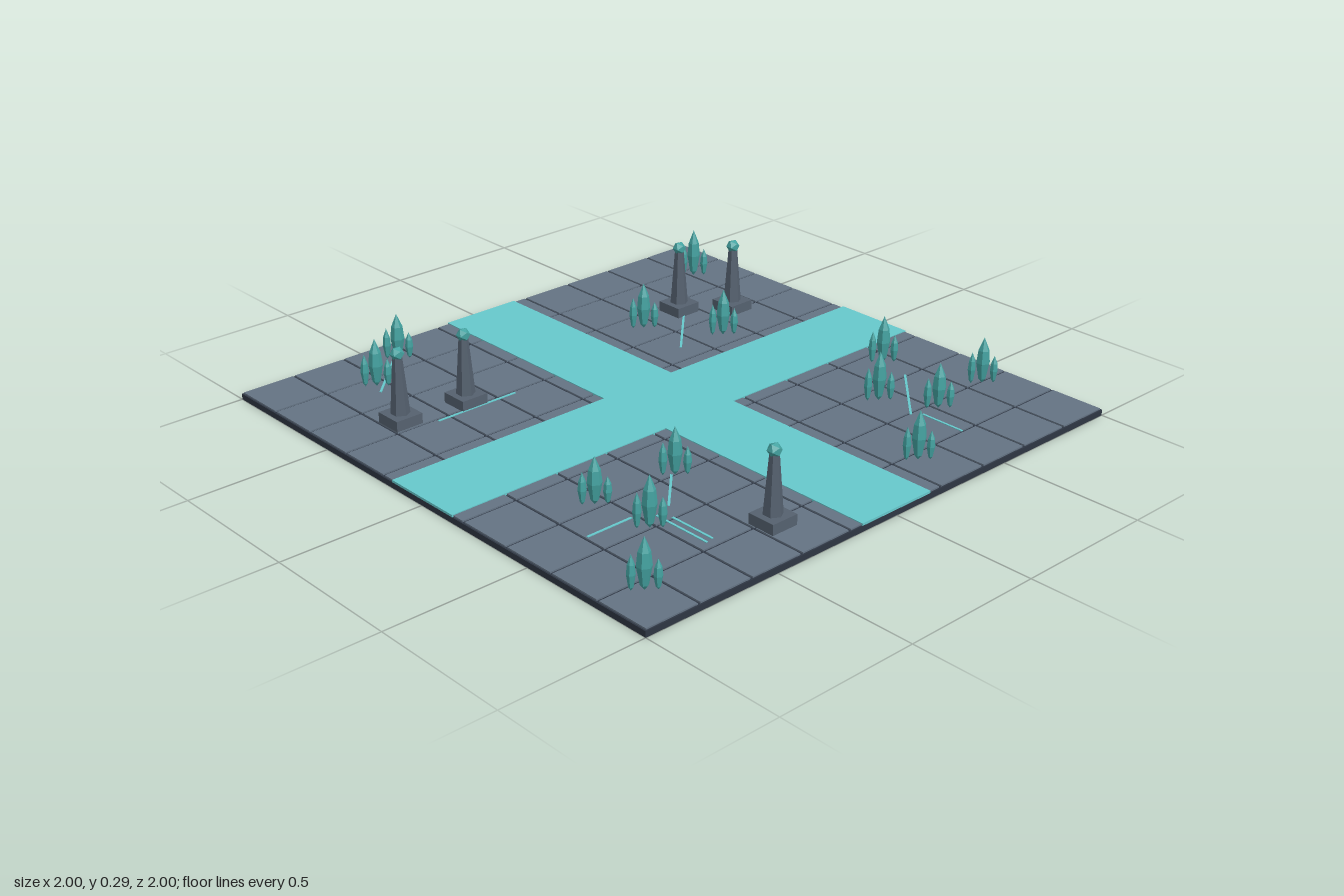
import * as THREE from 'three';

const mat = (name, color) => {
  const m = new THREE.MeshStandardMaterial({ color });
  m.name = name;
  return m;
};

export function createModel() {
  const root = new THREE.Group();
  root.name = 'crystalPlaza';
  const slabMat = mat('dark slab', 0x2e3643);
  const tileMat = mat('slate tile', 0x647383);
  const roadMat = mat('cyan road', 0x66c8cc);
  const stoneMat = mat('pillar stone', 0x55616f);
  const crystalMat = mat('teal crystal', 0x44a3a1);

  const add = (parent, name, geo, material, x, y, z) => {
    const mesh = new THREE.Mesh(geo, material);
    mesh.name = name;
    mesh.position.set(x, y, z);
    parent.add(mesh);
    return mesh;
  };
  const faceted = (geo) => {
    const g = geo.index ? geo.toNonIndexed() : geo;
    g.computeVertexNormals();
    return g;
  };

  // Ground slab and its grid of paving tiles
  const ground = 0.025;
  add(root, 'slab', new THREE.BoxGeometry(2, 0.02, 2), slabMat, 0, 0.01, 0);
  const tiles = new THREE.Group();
  tiles.name = 'tiles';
  root.add(tiles);
  const tileGeo = new THREE.BoxGeometry(0.19, 0.006, 0.19);
  for (let i = 0; i < 10; i++) {
    for (let j = 0; j < 10; j++) {
      add(tiles, 'tile', tileGeo, tileMat, -0.9 + i * 0.2, 0.022, -0.9 + j * 0.2);
    }
  }

  // Crossing roads: one full length, two arms beside it
  add(root, 'roadLong', new THREE.BoxGeometry(0.3, 0.008, 2), roadMat, 0, 0.024, 0);
  for (const s of [-1, 1]) {
    add(root, 'roadArm', new THREE.BoxGeometry(0.85, 0.008, 0.3), roadMat, s * 0.575, 0.024, 0);
  }

  // Thin glowing inlays: start x, z, end x, z
  const inlays = [
    [-0.66, -0.69, -0.48, -0.87], [-0.65, -0.385, -0.335, -0.385], [0.32, -0.285, 0.53, -0.495],
    [-0.79, 0.515, -0.62, 0.515], [-0.49, 0.535, -0.35, 0.395], [-0.557, 0.555, -0.557, 0.77],
    [-0.53, 0.595, -0.53, 0.765], [0.505, 0.61, 0.72, 0.395], [0.535, 0.635, 0.535, 0.8],
  ];
  for (const [x1, z1, x2, z2] of inlays) {
    const length = Math.hypot(x2 - x1, z2 - z1);
    const strip = add(root, 'inlay', new THREE.BoxGeometry(length, 0.003, 0.008), roadMat,
      (x1 + x2) / 2, 0.0258, (z1 + z2) / 2);
    strip.rotation.y = -Math.atan2(z2 - z1, x2 - x1);
  }

  // Tapered six-sided pillars with a gem on top
  const plinthGeo = new THREE.BoxGeometry(0.1, 0.036, 0.1);
  const shaftGeo = faceted(new THREE.CylinderGeometry(0.016, 0.032, 0.195, 6));
  const gemGeo = new THREE.IcosahedronGeometry(0.024, 0);
  const pillars = [[-0.745, -0.458], [-0.5, -0.435], [0.537, -0.528], [0.692, -0.413], [-0.342, 0.822]];
  for (const [x, z] of pillars) {
    const pillar = new THREE.Group();
    pillar.name = 'pillar';
    pillar.position.set(x, ground, z);
    root.add(pillar);
    add(pillar, 'plinth', plinthGeo, stoneMat, 0, 0.018, 0);
    add(pillar, 'shaft', shaftGeo, stoneMat, 0, 0.1335, 0);
    add(pillar, 'gem', gemGeo, crystalMat, 0, 0.243, 0);
  }

  // Crystal clusters: a tall shard with a smaller one on each side
  const profile = [[0, 0], [0.55, 0.1], [1, 0.45], [0.8, 0.72], [0, 1]]
    .map(([r, y]) => new THREE.Vector2(r, y));
  const shardGeo = faceted(new THREE.LatheGeometry(profile, 6));
  const clusters = [
    [-0.455, -0.875, 0.165], [-0.64, -0.74, 0.17], [0.812, -0.745, 0.18], [0.34, -0.5, 0.17],
    [0.507, -0.268, 0.17], [-0.643, 0.378, 0.16], [-0.34, 0.4, 0.165], [-0.62, 0.595, 0.175],
    [-0.865, 0.845, 0.17], [0.746, 0.27, 0.17], [0.51, 0.465, 0.175], [0.61, 0.635, 0.16],
    [0.866, 0.606, 0.165], [0.282, 0.835, 0.17],
  ];
  const shards = [[0, 0, 0.024, 1], [0.03, 0.024, 0.014, 0.58], [-0.03, -0.022, 0.014, 0.68]];
  for (const [x, z, height] of clusters) {
    const cluster = new THREE.Group();
    cluster.name = 'crystalCluster';
    cluster.position.set(x, ground, z);
    root.add(cluster);
    for (const [dx, dz, radius, part] of shards) {
      add(cluster, 'shard', shardGeo, crystalMat, dx, 0, dz).scale.set(radius, height * part, radius);
    }
  }
  return root;
}
